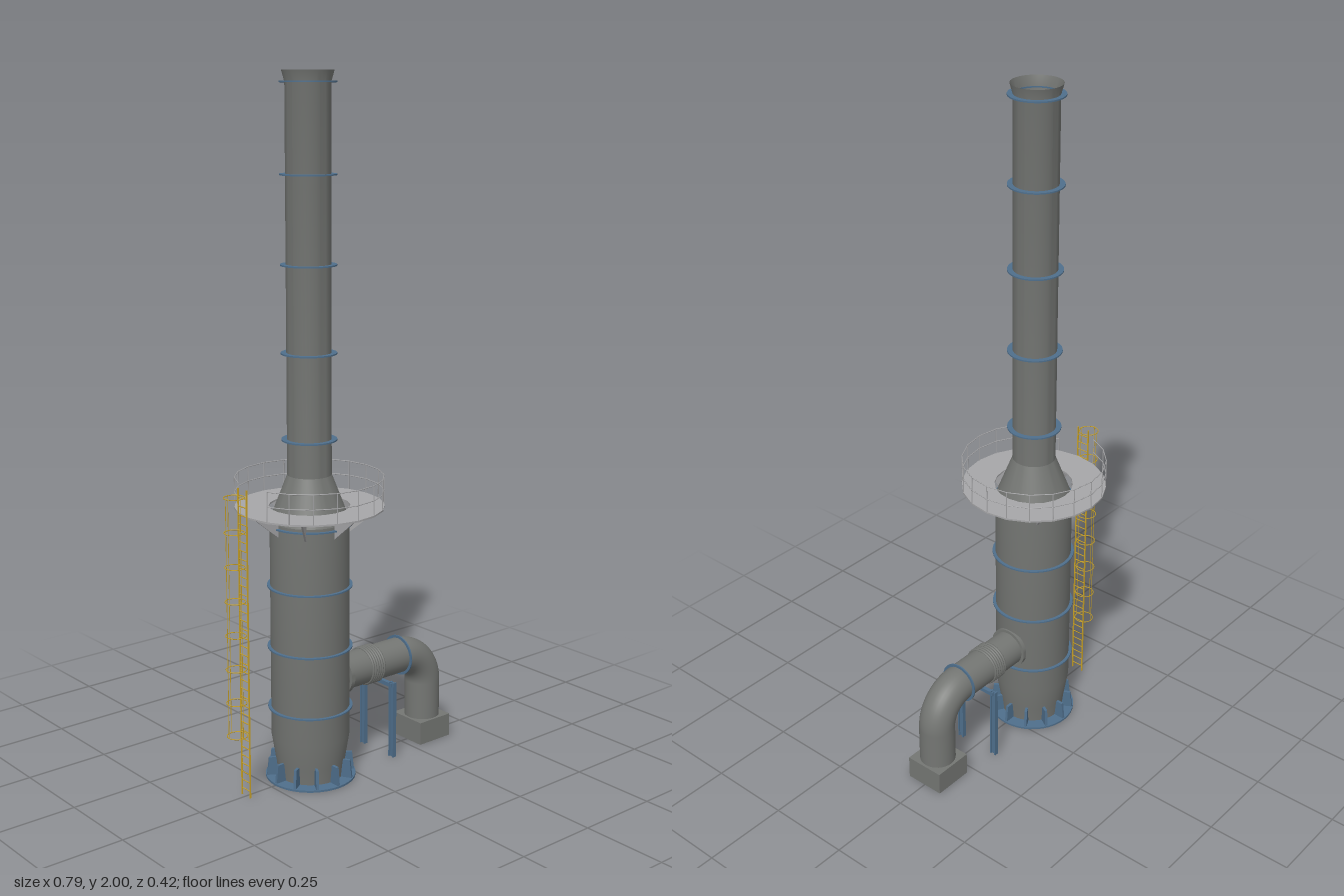
import * as THREE from 'three';
import { toCreasedNormals } from 'three/addons/utils/BufferGeometryUtils.js';

export function createModel() {
  const model = new THREE.Group();
  model.name = 'industrialChimney';
  const mat = (name, color, side = THREE.FrontSide) => {
    const m = new THREE.MeshStandardMaterial({ color, side });
    m.name = name;
    return m;
  };
  const steel = mat('dark grey steel', 0x747673, THREE.DoubleSide);
  const light = mat('light grey plate', 0xa6a6a8);
  const blue = mat('blue steel', 0x4f6f8c);
  const yellow = mat('safety yellow', 0xc9a227);

  const add = (parent, name, geo, material, x = 0, y = 0, z = 0) => {
    const m = new THREE.Mesh(geo, material);
    m.name = name;
    m.position.set(x, y, z);
    parent.add(m);
    return m;
  };
  const group = (name, x = 0, parent = model) => {
    const g = new THREE.Group();
    g.name = name;
    g.position.x = x;
    parent.add(g);
    return g;
  };
  const lathe = (pts, seg = 40) =>
    toCreasedNormals(new THREE.LatheGeometry(pts.map(p => new THREE.Vector2(...p)), seg), 0.4);
  // Flat washer centred on its height
  const washer = (ri, ro, h, seg = 40) =>
    lathe([[ri, -h / 2], [ro, -h / 2], [ro, h / 2], [ri, h / 2], [ri, -h / 2]], seg);
  const box = (w, h, d) => new THREE.BoxGeometry(w, h, d);
  const rod = (r, h) => new THREE.CylinderGeometry(r, r, h, 6);
  // Upright plate drawn in radius / height, centred on its thickness
  const plate = (pts, t) => {
    const s = new THREE.Shape(pts.map(p => new THREE.Vector2(...p)));
    const g = new THREE.ExtrudeGeometry(s, { depth: t, bevelEnabled: false });
    return g.translate(0, 0, -t / 2);
  };

  // Hollow tower: vessel, cone and tall stack
  const tower = group('tower', -0.106);
  add(tower, 'vessel', lathe([[0.095, 0.005], [0.1, 0.05], [0.113, 0.13], [0.113, 0.77]]), steel);
  add(tower, 'cone', lathe([[0.113, 0.77], [0.0625, 0.9]]), steel);
  add(tower, 'stack', lathe([[0.0625, 0.9], [0.0625, 1.97], [0.071, 2]]), steel);

  // Stiffening rings
  for (let i = 0; i < 4; i++)
    add(tower, 'vesselRing', washer(0.112, 0.122, 0.004), blue, 0, 0.215 + i * 0.1817);
  for (let i = 0; i < 5; i++)
    add(tower, 'stackRing', washer(0.062, 0.078, 0.004), blue, 0, 1 + i * 0.2425);

  // Base flange and gussets
  add(tower, 'baseFlange', washer(0.066, 0.131, 0.006), blue, 0, 0.003);
  const gusset = plate([[0.094, 0.005], [0.128, 0.005], [0.122, 0.06], [0.1, 0.06]], 0.008);
  for (let i = 0; i < 12; i++)
    add(tower, 'baseGusset', gusset, blue).rotation.y = i * Math.PI / 6;

  // Service platform with triangular brackets
  const R = 0.21;
  const platform = group('platform', 0, tower);
  const deck = washer(0.115, R + 0.002, 0.005, 20);
  add(platform, 'deck', deck, light, 0, 0.808);
  const bracket = plate([[0.112, 0.735], [0.2, 0.806], [0.112, 0.806]], 0.005);
  for (let i = 0; i < 8; i++)
    add(platform, 'deckBracket', bracket, light).rotation.y = i * Math.PI / 4;

  // Guard rail, open towards the ladder
  const step = Math.PI / 10;
  const onRim = a => new THREE.Vector3(R * Math.cos(a), 0, R * Math.sin(a));
  const railSpan = rod(0.0015, 2 * R * Math.sin(step / 2)).rotateX(Math.PI / 2);
  for (let i = -9; i <= 9; i++) {
    const p = onRim(i * step);
    add(platform, 'railPost', rod(0.0015, 0.086), light, p.x, 0.852, p.z);
    if (i === 9) continue;
    const mid = p.clone().add(onRim((i + 1) * step)).multiplyScalar(0.5);
    for (const y of [0.852, 0.894])
      add(platform, 'guardRail', railSpan, light, mid.x, y, mid.z).rotation.y = -(i + 0.5) * step;
  }

  // Side duct, turning down into a square footing
  const duct = group('duct');
  const dy = 0.283, dr = 0.053, bend = 0.1, ex = 0.235;
  const alongX = geo => geo.rotateZ(-Math.PI / 2);
  const tube = h => new THREE.CylinderGeometry(dr, dr, h, 32, 1, true);
  add(duct, 'ductRun', alongX(tube(0.25)), steel, 0.11, dy);
  add(duct, 'ductElbow', new THREE.TorusGeometry(bend, dr, 32, 16, Math.PI / 2), steel, ex, dy - bend);
  add(duct, 'ductDrop', tube(0.123), steel, ex + bend, 0.1215);
  add(duct, 'ductFooting', box(0.121, 0.07, 0.121), steel, ex + bend, 0.035);
  add(duct, 'wallCollar', alongX(washer(0.052, 0.062, 0.012)), steel, 0.006, dy);
  add(duct, 'ductFlange', alongX(washer(0.052, 0.061, 0.004)), blue, ex, dy);

  // Expansion bellows
  for (let i = 0; i < 6; i++)
    add(duct, 'bellowsFold', new THREE.TorusGeometry(0.054, 0.004, 8, 32), steel, 0.09 + i * 0.0085, dy)
      .rotation.y = Math.PI / 2;

  // Duct support: two H-section posts and a crossbeam
  const support = group('ductSupport', 0.155);
  for (const s of [1, -1]) {
    add(support, 'postWeb', box(0.004, 0.235, 0.02), blue, 0, 0.1175, s * 0.065);
    for (const f of [-0.008, 0.008])
      add(support, 'postFlange', box(0.013, 0.235, 0.004), blue, 0, 0.1175, s * 0.065 + f);
  }
  add(support, 'crossbeam', box(0.012, 0.012, 0.13), blue, 0, 0.225);

  // Ladder
  const ladder = group('ladder', -0.34);
  for (const s of [1, -1])
    add(ladder, 'ladderRail', box(0.004, 0.895, 0.003), yellow, 0, 0.4475, s * 0.019);
  for (let y = 0.02; y < 0.89; y += 0.025)
    add(ladder, 'rung', rod(0.0015, 0.038).rotateX(Math.PI / 2), yellow, 0, y);

  // Safety cage: hoops and upright straps
  const cage = group('ladderCage', -0.028, ladder);
  for (let i = 0; i < 8; i++)
    add(cage, 'cageHoop', new THREE.TorusGeometry(0.0285, 0.0013, 6, 28), yellow, 0, 0.19 + i * 0.098)
      .rotation.x = Math.PI / 2;
  for (const a of [90, 180, 270]) {
    const t = a * Math.PI / 180;
    add(cage, 'cageStrap', rod(0.001, 0.69), yellow, 0.0285 * Math.cos(t), 0.533, 0.0285 * Math.sin(t));
  }
  return model;
}
